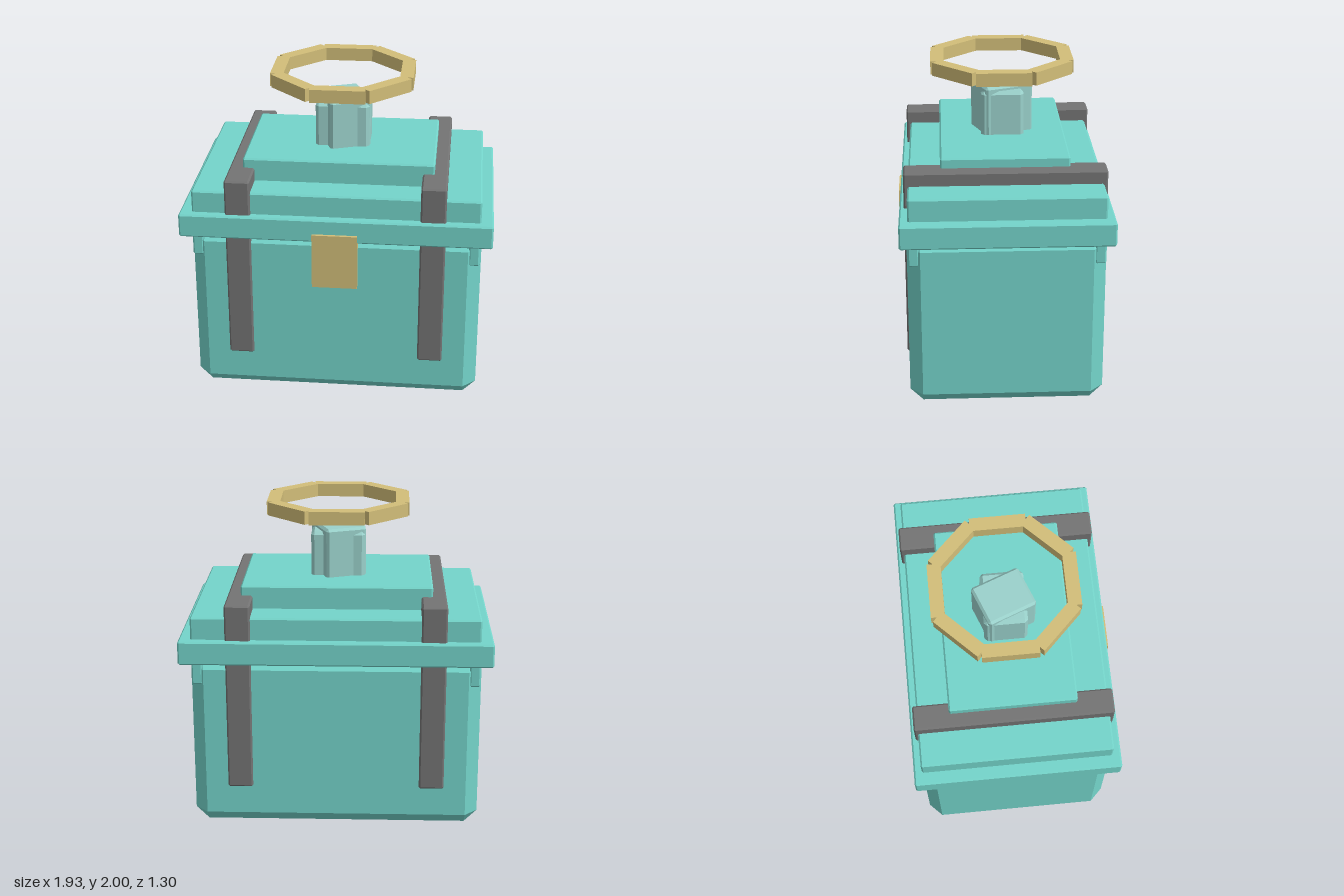
import * as THREE from 'three';
import { ConvexGeometry } from 'three/addons/geometries/ConvexGeometry.js';

const material = (name, color) => {
  const m = new THREE.MeshStandardMaterial({ color });
  m.name = name;
  return m;
};

// Box with every edge chamfered by c: three points at each corner
function chamferBox(w, h, d, c) {
  const points = [];
  for (const x of [-1, 1]) for (const y of [-1, 1]) for (const z of [-1, 1]) {
    const X = w / 2, Y = h / 2, Z = d / 2;
    points.push(
      new THREE.Vector3(x * X, y * (Y - c), z * (Z - c)),
      new THREE.Vector3(x * (X - c), y * Y, z * (Z - c)),
      new THREE.Vector3(x * (X - c), y * (Y - c), z * Z)
    );
  }
  return new ConvexGeometry(points);
}

export function createModel() {
  const teal = material('teal', 0x74d4ca);
  const grey = material('strap grey', 0x747474);
  const gold = material('gold', 0xd2be79);
  const pale = material('pale teal', 0x9ad1cb);
  const model = new THREE.Group();
  model.name = 'chest';

  // Adds a box given by its extents; c is the chamfer
  function block(name, mat, [x0, x1], [y0, y1], [z0, z1], c, parent = model) {
    const size = [x1 - x0, y1 - y0, z1 - z0];
    const geometry = c ? chamferBox(...size, c) : new THREE.BoxGeometry(...size);
    const mesh = new THREE.Mesh(geometry, mat);
    mesh.name = name;
    mesh.position.set((x0 + x1) / 2, (y0 + y1) / 2, (z0 + z1) / 2);
    parent.add(mesh);
    return mesh;
  }

  // Body and stepped lid
  block('body', teal, [-0.9, 0.895], [0, 1.12], [-0.605, 0.595], 0.08);
  block('lidRim', teal, [-0.967, 0.962], [1.085, 1.235], [-0.65, 0.637], 0.01);
  block('lidMiddle', teal, [-0.89, 0.887], [1.2, 1.375], [-0.6, 0.585], 0.01);
  block('lidTop', teal, [-0.597, 0.592], [1.34, 1.52], [-0.4, 0.388], 0.01);

  // Corner blocks under the rim
  for (const x of [-0.858, 0.853]) for (const z of [-0.565, 0.555])
    block('cornerBlock', teal, [x - 0.034, x + 0.034], [0.943, 1.1], [z - 0.034, z + 0.034], 0.01);

  // Straps: front leg, back leg and top bar
  for (const x of [-0.603, 0.597]) {
    const strap = new THREE.Group();
    strap.name = 'strap';
    const width = [x - 0.078, x + 0.078];
    block('strapFront', grey, width, [0.265, 1.458], [0.53, 0.61], 0.01, strap);
    block('strapBack', grey, width, [0.265, 1.458], [-0.622, -0.542], 0.01, strap);
    block('strapTop', grey, width, [1.34, 1.458], [-0.622, 0.61], 0.01, strap);
    model.add(strap);
  }

  // Clasp plate
  block('clasp', gold, [-0.142, 0.138], [0.785, 1.14], [0.57, 0.655], 0);

  // Knob: a straight block crossed by a turned, taller one
  block('knobBase', pale, [-0.172, 0.167], [1.45, 1.8], [-0.142, 0.125], 0.02);
  const knob = block('knobTop', pale, [-0.135, 0.13], [1.45, 1.828], [-0.168, 0.15], 0.015);
  knob.rotation.y = THREE.MathUtils.degToRad(21);

  // Floating ring of eight straight bars
  const ring = new THREE.Group();
  ring.name = 'ring';
  ring.position.set(-0.004, 1.96, -0.006);
  const barGeometry = new THREE.BoxGeometry(0.338, 0.082, 0.083);
  for (let i = 0; i < 8; i++) {
    const angle = i * Math.PI / 4;
    const bar = new THREE.Mesh(barGeometry, gold);
    bar.name = 'ringBar';
    bar.position.set(Math.sin(angle) * 0.402, 0, Math.cos(angle) * 0.402);
    bar.rotation.y = angle;
    ring.add(bar);
  }
  model.add(ring);
  return model;
}
